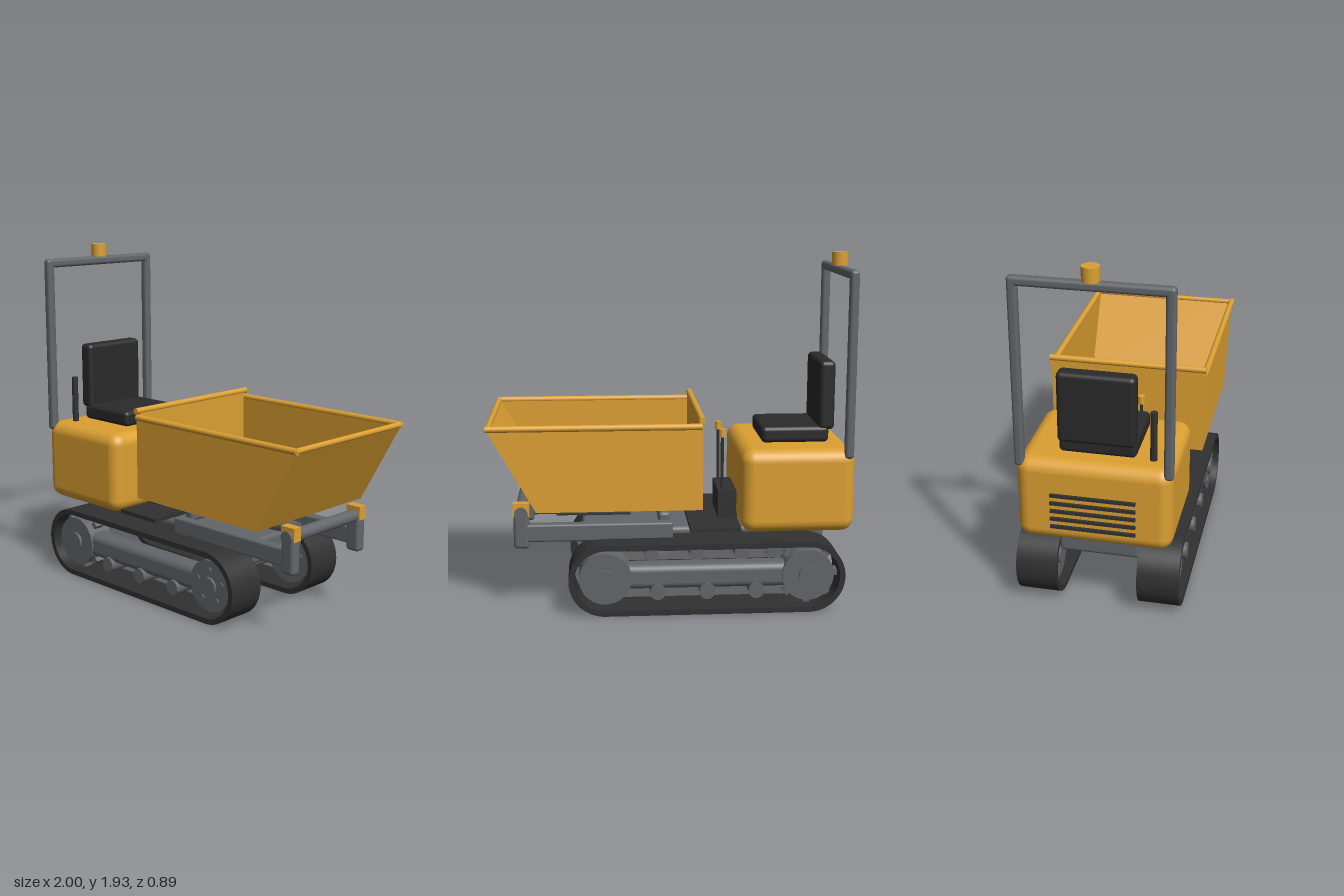
import * as THREE from 'three';
import { RoundedBoxGeometry } from 'three/addons/geometries/RoundedBoxGeometry.js';

export function createModel() {
  const model = new THREE.Group();
  model.name = 'trackedDumper';

  const mat = (name, color) => {
    const m = new THREE.MeshStandardMaterial({ color });
    m.name = name;
    return m;
  };
  const yellow = mat('yellow paint', 0xdca032);
  const grey = mat('grey steel', 0x62666a);
  const black = mat('black rubber', 0x313131);
  const seatBlack = mat('seat vinyl', 0x2a2a2a);

  const add = (name, geo, material, x = 0, y = 0, z = 0, parent = model) => {
    const m = new THREE.Mesh(geo, material);
    m.name = name;
    m.position.set(x, y, z);
    parent.add(m);
    return m;
  };
  // Box given by its limits; r rounds the edges
  const box = (name, material, [x0, x1], [y0, y1], [z0, z1], r = 0, parent = model) => {
    const s = [x1 - x0, y1 - y0, z1 - z0];
    const geo = r ? new RoundedBoxGeometry(...s, 4, r) : new THREE.BoxGeometry(...s);
    return add(name, geo, material, (x0 + x1) / 2, (y0 + y1) / 2, (z0 + z1) / 2, parent);
  };
  // Cylinder along one axis, placed by its centre
  const rod = (name, material, axis, r, len, x, y, z, parent = model, seg = 24) => {
    const geo = new THREE.CylinderGeometry(r, r, len, seg);
    if (axis === 'x') geo.rotateZ(-Math.PI / 2);
    if (axis === 'z') geo.rotateX(Math.PI / 2);
    return add(name, geo, material, x, y, z, parent);
  };
  // Side profile in x, y extruded along z about its centre
  const slab = (name, material, points, depth, z = 0, parent = model) => {
    const shape = new THREE.Shape(points.map(p => new THREE.Vector2(...p)));
    const geo = new THREE.ExtrudeGeometry(shape, { depth, bevelEnabled: false });
    return add(name, geo, material, 0, 0, z - depth / 2, parent);
  };

  // Crawler tracks
  const rearX = -0.735, frontX = 0.375, axleY = 0.2;
  const loop = (path, r) => {
    path.moveTo(rearX, axleY - r);
    path.lineTo(frontX, axleY - r);
    path.absarc(frontX, axleY, r, -Math.PI / 2, Math.PI / 2, false);
    path.lineTo(rearX, axleY + r);
    path.absarc(rearX, axleY, r, Math.PI / 2, Math.PI * 1.5, false);
    return path;
  };
  const belt = loop(new THREE.Shape(), 0.2);
  belt.holes.push(loop(new THREE.Path(), 0.17));
  const beltGeo = new THREE.ExtrudeGeometry(belt, { depth: 0.22, bevelEnabled: false, curveSegments: 28 });

  for (const s of [1, -1]) {
    const track = new THREE.Group();
    track.name = s > 0 ? 'leftTrack' : 'rightTrack';
    model.add(track);
    const zc = s * 0.323;
    add('trackBelt', beltGeo, black, 0, 0, zc - 0.11, track);
    box('trackFrame', grey, [-0.7, 0.34], [0.13, 0.268], [zc - 0.065, zc + 0.065], 0.04, track);

    // Drive sprocket with teeth
    rod('sprocket', grey, 'z', 0.143, 0.15, rearX, axleY, zc, track, 36);
    rod('sprocketHub', grey, 'z', 0.052, 0.18, rearX, axleY, zc, track);
    for (let i = 0; i < 8; i++) {
      const a = i * Math.PI / 4;
      const tooth = add('sprocketTooth', new THREE.BoxGeometry(0.04, 0.035, 0.06), grey,
        rearX + 0.15 * Math.cos(a), axleY + 0.15 * Math.sin(a), zc, track);
      tooth.rotation.z = a;
    }
    // Idler wheel with bolts
    rod('idler', grey, 'z', 0.143, 0.15, frontX, axleY, zc, track, 36);
    rod('idlerHub', grey, 'z', 0.052, 0.18, frontX, axleY, zc, track);
    for (let i = 0; i < 5; i++) {
      const a = Math.PI / 2 + i * Math.PI * 0.4;
      rod('idlerBolt', grey, 'z', 0.017, 0.165, frontX + 0.09 * Math.cos(a), axleY + 0.09 * Math.sin(a), zc, track, 12);
    }
    for (const x of [-0.45, -0.18, 0.09]) rod('roller', grey, 'z', 0.043, 0.16, x, 0.12, zc, track);

    // Load frame rail, front post and hopper hinge
    const zr = s * 0.27;
    box('loadRail', grey, [0, 0.86], [0.387, 0.485], [zr - 0.03, zr + 0.03], 0.012);
    box('hingePost', grey, [0.785, 0.87], [0.35, 0.57], [zr - 0.032, zr + 0.032], 0.02);
    box('hingeBracket', yellow, [0.783, 0.872], [0.53, 0.605], [zr - 0.026, zr + 0.026]);
    rod('hingePin', grey, 'z', 0.035, 0.08, 0.828, 0.55, zr);
  }

  // Chassis
  box('chassis', grey, [-0.85, 0.5], [0.295, 0.435], [-0.218, 0.218], 0.025);
  box('underStep', black, [-0.22, -0.14], [0.076, 0.098], [-0.11, 0.11]);
  rod('hingeTube', grey, 'z', 0.035, 0.5, 0.828, 0.55, 0);
  box('rearCrossBar', grey, [0.01, 0.076], [0.455, 0.522], [-0.225, 0.225], 0.02);
  rod('tipCylinder', grey, 'x', 0.04, 0.305, 0.378, 0.49, 0);
  rod('tipCylinderEnd', grey, 'x', 0.038, 0.115, 0.588, 0.49, 0);
  rod('tipRod', grey, 'x', 0.02, 0.2, 0.14, 0.49, 0);

  // Engine housing and grille
  box('engineHousing', yellow, [-0.985, -0.365], [0.438, 0.9], [-0.402, 0.402], 0.07);
  for (let i = 0; i < 5; i++) {
    const y = 0.535 + i * 0.045;
    box('grilleSlat', black, [-1, -0.98], [y - 0.008, y + 0.008], [-0.22, 0.22]);
  }

  // Operator station
  box('seatCushion', seatBlack, [-0.87, -0.495], [0.9, 0.99], [-0.2, 0.2], 0.025);
  box('seatBack', seatBlack, [-0.9, -0.812], [0.97, 1.352], [-0.2, 0.2], 0.025);
  rod('exhaust', black, 'y', 0.018, 0.28, -0.853, 1.025, 0.285);
  box('footPlate', black, [-0.37, -0.09], [0.443, 0.465], [-0.36, 0.36]);
  box('console', black, [-0.37, -0.262], [0.46, 0.62], [-0.15, 0.15]);
  for (const z of [0.108, -0.108]) {
    rod('controlLever', black, 'y', 0.009, 0.32, -0.288, 0.77, z, model, 12);
    rod('leverKnob', yellow, 'y', 0.02, 0.045, -0.288, 0.943, z, model, 16);
  }

  // Roll bar and beacon
  for (const z of [0.38, -0.38])
    box('rollBarPost', grey, [-0.97, -0.92], [0.85, 1.86], [z - 0.025, z + 0.025], 0.018);
  box('rollBarTop', grey, [-0.97, -0.92], [1.81, 1.86], [-0.405, 0.405], 0.018);
  rod('beacon', yellow, 'y', 0.045, 0.075, -0.945, 1.896, 0);

  // Hopper: shell profile, side plates, floor liner and rim
  slab('hopperShell', yellow, [
    [-0.15, 0.59], [0.738, 0.59], [0.995, 1.045], [0.975, 1.045],
    [0.727, 0.608], [-0.132, 0.608], [-0.132, 1.075], [-0.15, 1.075],
  ], 0.84);
  for (const s of [1, -1]) {
    slab('hopperSide', yellow, [[-0.15, 0.59], [0.738, 0.59], [0.995, 1.05], [-0.15, 1.05]], 0.016, s * 0.421);
    rod('sideRim', yellow, 'x', 0.017, 1.14, 0.425, 1.046, s * 0.428);
  }
  box('floorLiner', grey, [-0.131, 0.728], [0.607, 0.613], [-0.412, 0.412]);
  rod('rearRim', yellow, 'z', 0.017, 0.88, -0.145, 1.082, 0);
  rod('frontRim', yellow, 'z', 0.015, 0.87, 0.983, 1.046, 0);

  return model;
}
